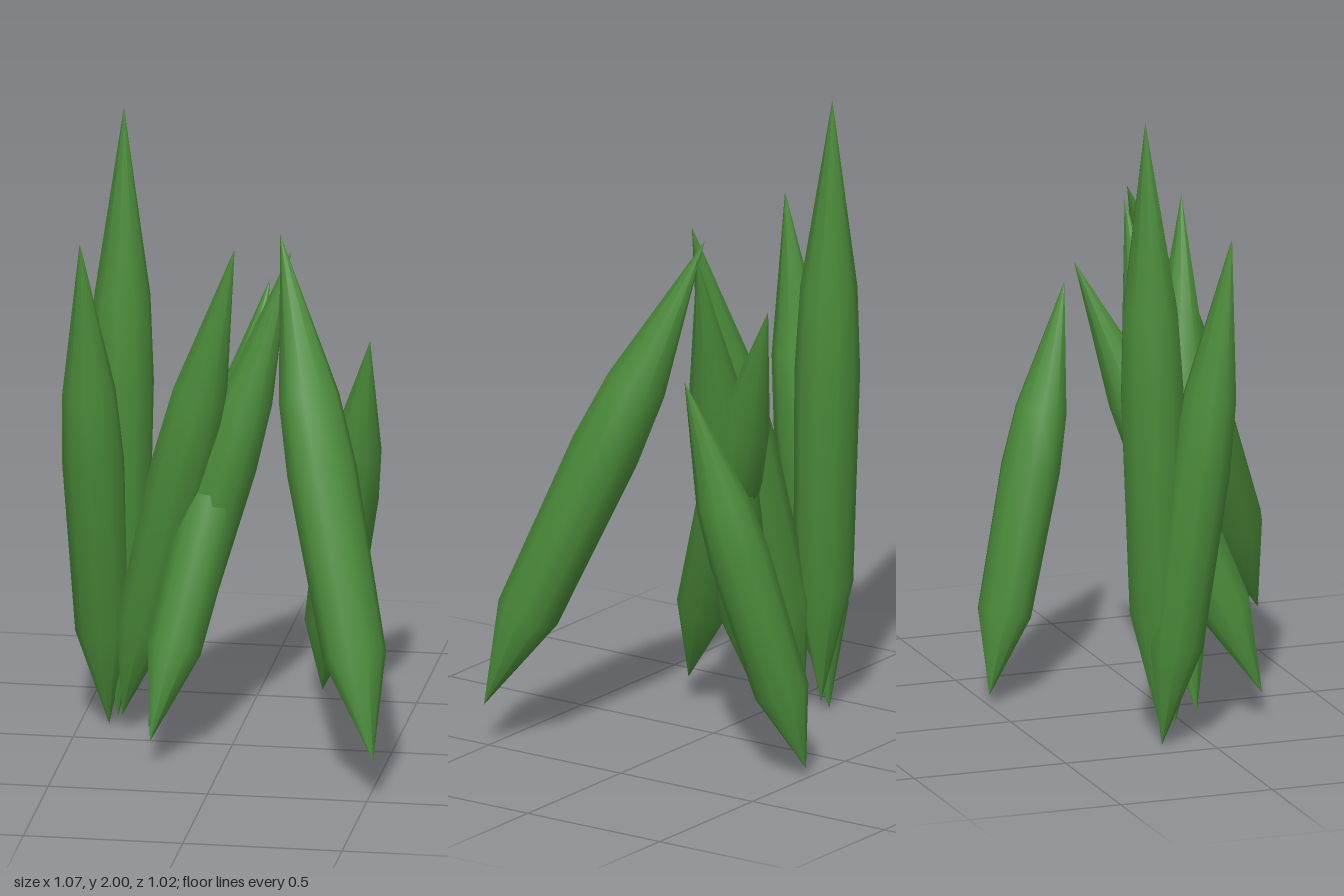
import * as THREE from 'three';

export function createModel() {
  const group = new THREE.Group();
  group.name = 'grassTuft';
  const leafGreen = new THREE.MeshStandardMaterial({ color: 0x4a8a39 });
  leafGreen.name = 'leafGreen';

  // Each blade: bottom tip, top tip, radius
  const blades = [
    [[0.52, 0.135, 0.505], [0.14, 1.65, -0.065], 0.11],
    [[0.205, 0.03, -0.495], [0.405, 1.28, -0.175], 0.095],
    [[-0.38, 0.03, -0.14], [-0.37, 2.0, -0.19], 0.102],
    [[-0.41, 0.0, -0.15], [-0.47, 1.63, 0.06], 0.097],
    [[-0.36, 0.05, -0.09], [0.018, 1.64, 0.07], 0.1],
    [[-0.22, 0.08, 0.25], [0.078, 1.44, -0.262], 0.095],
    [[-0.26, 0.05, 0.02], [0.175, 1.6, -0.06], 0.095],
  ];

  const up = new THREE.Vector3(0, 1, 0);
  blades.forEach(([bottom, top, radius], i) => {
    const start = new THREE.Vector3(...bottom);
    const axis = new THREE.Vector3(...top).sub(start);
    const length = axis.length();
    // Faceted spindle, pointed at both ends
    const profile = [[0, 0], [0.91, 0.2], [1, 0.55], [0.87, 0.69], [0, 1]]
      .map(([r, t]) => new THREE.Vector2(r * radius, t * length));
    const blade = new THREE.Mesh(new THREE.LatheGeometry(profile, 10), leafGreen);
    blade.name = `blade${i + 1}`;
    blade.position.copy(start);
    blade.quaternion.setFromUnitVectors(up, axis.normalize());
    group.add(blade);
  });

  return group;
}
